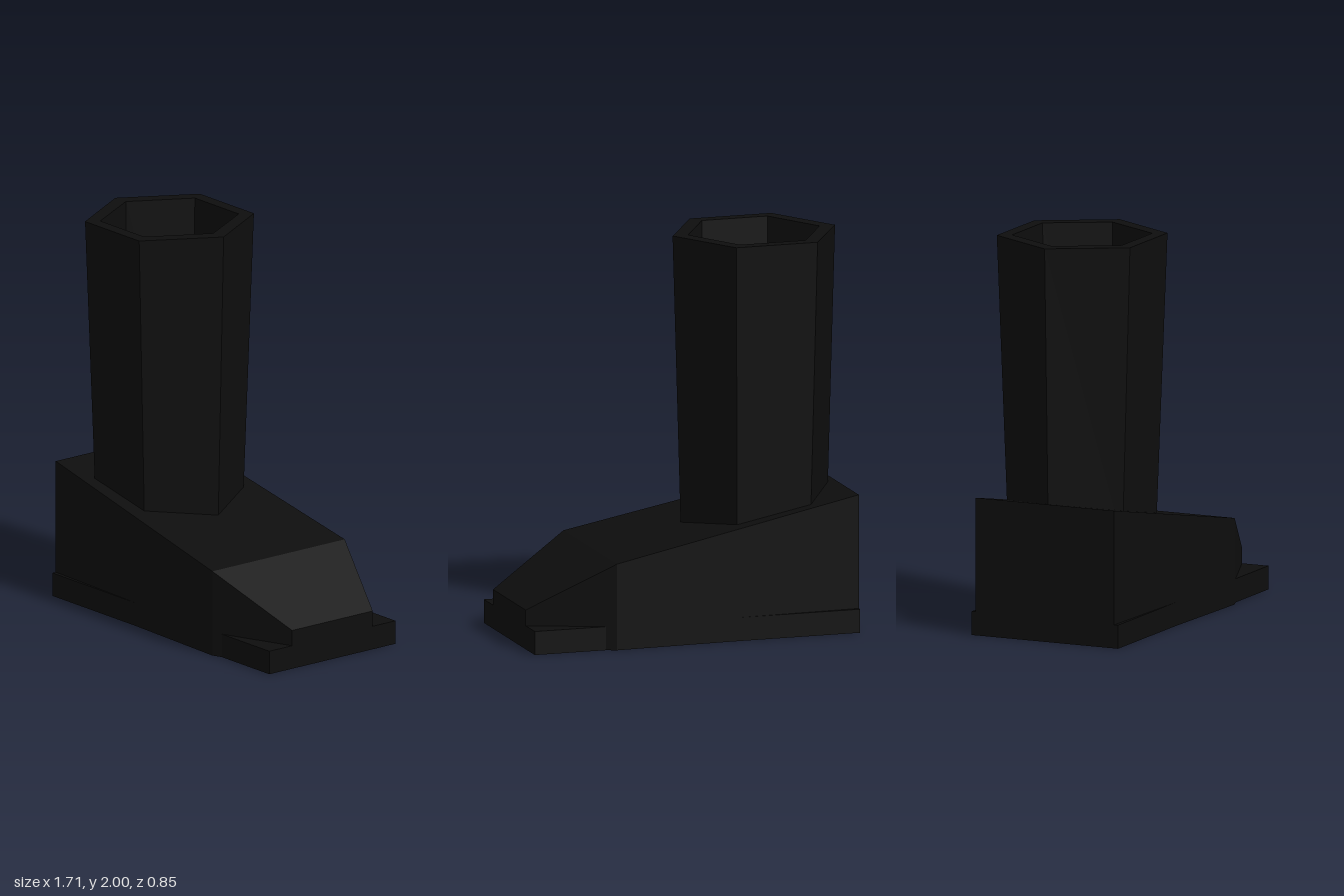
import * as THREE from 'three';

// Flat-faced skin through a list of rings holding the same number of points
function loft(rings) {
  const pos = [];
  for (let k = 0; k < rings.length - 1; k++) {
    const a = rings[k], b = rings[k + 1], n = a.length;
    for (let i = 0; i < n; i++) {
      const j = (i + 1) % n;
      pos.push(...a[i], ...b[i], ...b[j], ...a[i], ...b[j], ...a[j]);
    }
  }
  const g = new THREE.BufferGeometry();
  g.setAttribute('position', new THREE.Float32BufferAttribute(pos, 3));
  g.computeVertexNormals();
  return g;
}

// Horizontal hexagon with corners on the x axis; hz is half its width in z
function hexRing(y, rx, hz) {
  return Array.from({ length: 6 }, (_, i) => {
    const a = (i * Math.PI) / 3;
    return [rx * Math.cos(a), y, (hz * Math.sin(a)) / Math.sin(Math.PI / 3)];
  });
}

// Upright rectangle across the foot at x, standing on the ground
const footRing = (x, h, w) => [[x, 0, w], [x, h, w], [x, h, -w], [x, 0, -w]];
const pointRing = (n, p) => Array.from({ length: n }, () => p);

export function createModel() {
  const group = new THREE.Group();
  group.name = 'boot';
  const black = new THREE.MeshStandardMaterial({ color: 0x0d0d0d });
  black.name = 'black leather';

  const add = (name, geometry) => {
    const mesh = new THREE.Mesh(geometry, black);
    mesh.name = name;
    group.add(mesh);
    return mesh;
  };

  // Flat sole
  add('sole', new THREE.BoxGeometry(1.71, 0.12, 0.814)).position.y = 0.06;

  // Foot: tall heel, wide ball, low narrow toe
  add('foot', loft([
    pointRing(4, [-0.855, 0.35, 0]),
    footRing(-0.855, 0.7, 0.386),
    footRing(0.43, 0.44, 0.427),
    footRing(0.855, 0.2, 0.26),
    pointRing(4, [0.855, 0.1, 0]),
  ]));

  // Hollow hexagonal shaft: outer wall, rim, inner wall, floor
  add('shaft', loft([
    hexRing(0.5, 0.384, 0.318),
    hexRing(2, 0.427, 0.37),
    hexRing(2, 0.345, 0.305),
    hexRing(0.72, 0.315, 0.265),
    pointRing(6, [0, 0.72, 0]),
  ])).position.x = -0.43;

  return group;
}
